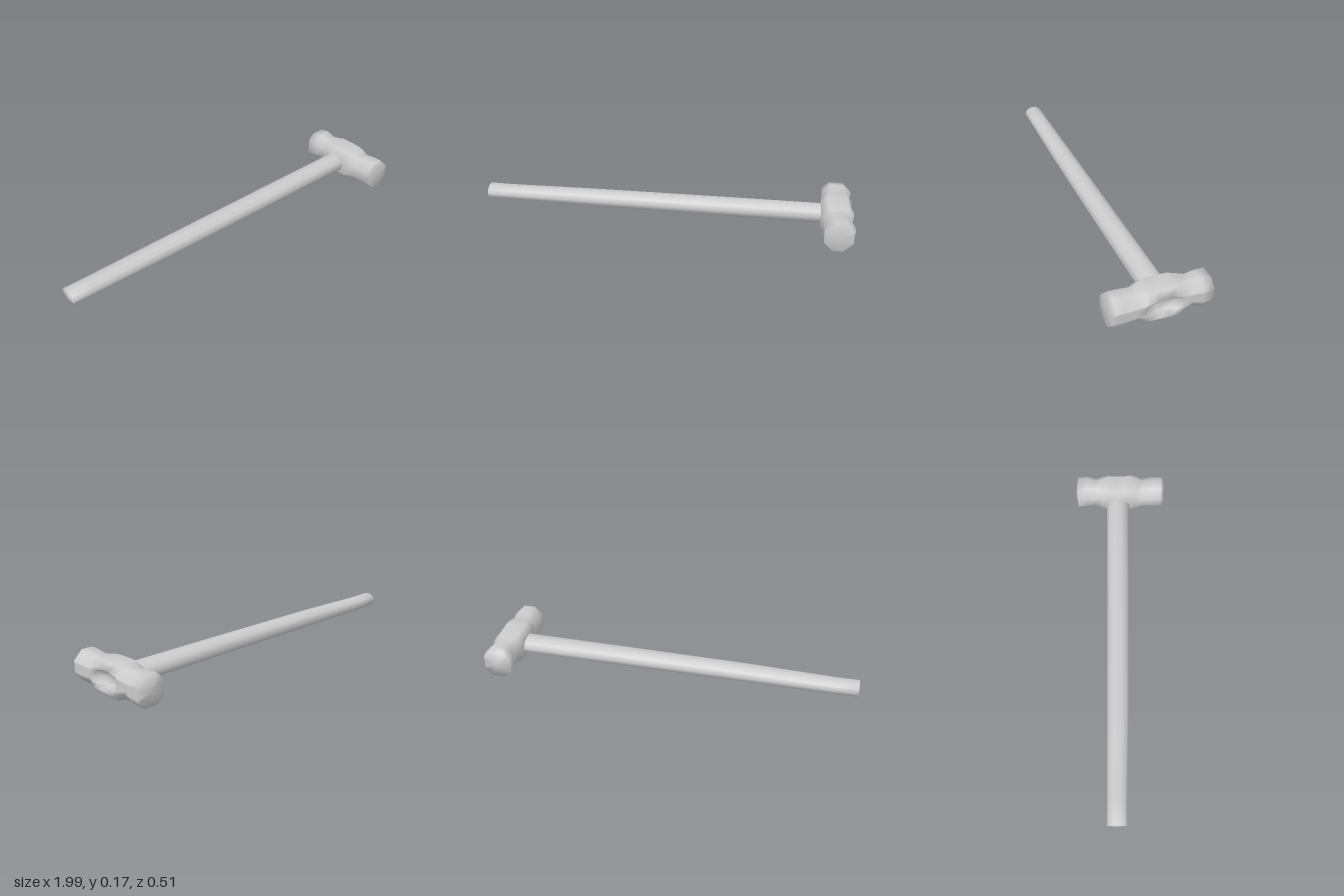
import * as THREE from 'three';

const material = new THREE.MeshStandardMaterial({ color: 0xcccccc });

// Skin a list of equal-length rings and close both ends with a fan.
function loft(name, rings, startCentre, endCentre) {
  const n = rings[0].length;
  const points = [...rings.flat(), startCentre, endCentre];
  const start = points.length - 2, end = points.length - 1;
  const last = (rings.length - 1) * n;
  const index = [];
  for (let i = 0; i < n; i++) {
    const j = (i + 1) % n;
    for (let r = 0; r < rings.length - 1; r++) {
      const a = r * n + i, b = r * n + j;
      index.push(a, b, a + n, b, b + n, a + n);
    }
    index.push(start, j, i, end, last + i, last + j);
  }
  const geometry = new THREE.BufferGeometry();
  geometry.setAttribute('position', new THREE.Float32BufferAttribute(points.flat(), 3));
  geometry.setIndex(index);
  geometry.computeVertexNormals();
  const mesh = new THREE.Mesh(geometry, material);
  mesh.name = name;
  return mesh;
}

// Octagonal head section, with extra points on the +x side for the eye.
function headRing([z, x0, x1, y0, y1, c]) {
  const ring = [[x1, y0 + c, z]];
  for (const t of [0.2, 0.5, 0.8]) {
    ring.push([x1, THREE.MathUtils.lerp(y0 + c, y1 - c, t), z]);
  }
  ring.push([x1, y1 - c, z], [x1 - c, y1, z], [x0 + c, y1, z],
    [x0, y1 - c, z], [x0, y0 + c, z], [x0 + c, y0, z], [x1 - c, y0, z]);
  // Hollow of the eye
  for (const p of ring) {
    const d = (z / 0.095) ** 2 + ((p[1] - 0.088) / 0.056) ** 2;
    if (p[0] === x1 && d < 1) p[0] -= 0.045 * Math.min(1, 1.6 * (1 - d));
  }
  return ring;
}

// Oval handle section
function handleRing([x, cy, cz, ry, rz], sides = 10) {
  return Array.from({ length: sides }, (_, i) => {
    const a = ((i + 0.5) / sides) * Math.PI * 2;
    return [x, cy + ry * Math.cos(a), cz + rz * Math.sin(a)];
  });
}

export function createModel() {
  const group = new THREE.Group();
  group.name = 'sledgehammer';

  // Head: z, x range, y range, corner cut
  const head = [
    [-0.242, 0.840, 0.985, 0.010, 0.160, 0.034],
    [-0.190, 0.840, 0.992, 0.010, 0.168, 0.042],
    [-0.140, 0.843, 0.980, 0.018, 0.160, 0.042],
    [-0.095, 0.832, 0.988, 0.010, 0.165, 0.036],
    [-0.065, 0.826, 0.993, 0.003, 0.169, 0.032],
    [-0.030, 0.824, 0.995, 0.003, 0.169, 0.032],
    [0.030, 0.824, 0.995, 0.004, 0.169, 0.032],
    [0.065, 0.828, 0.993, 0.005, 0.169, 0.032],
    [0.095, 0.832, 0.988, 0.009, 0.164, 0.036],
    [0.125, 0.838, 0.980, 0.012, 0.160, 0.042],
    [0.190, 0.836, 0.988, 0.011, 0.168, 0.044],
    [0.235, 0.836, 0.988, 0.011, 0.171, 0.046],
    [0.252, 0.838, 0.980, 0.012, 0.165, 0.045],
  ];
  group.add(loft('head', head.map(headRing), [0.912, 0.085, -0.254], [0.905, 0.088, 0.255]));

  // Handle: x, centre y and z, half height, half depth
  const handle = [
    [-0.998, 0.088, -0.021, 0.040, 0.052],
    [-0.880, 0.086, -0.021, 0.040, 0.053],
    [-0.400, 0.088, -0.015, 0.046, 0.058],
    [0.300, 0.088, -0.012, 0.049, 0.061],
    [0.870, 0.088, -0.010, 0.050, 0.063],
  ];
  group.add(loft('handle', handle.map((s) => handleRing(s)),
    [-1, 0.088, -0.021], [0.870, 0.088, -0.010]));

  return group;
}
